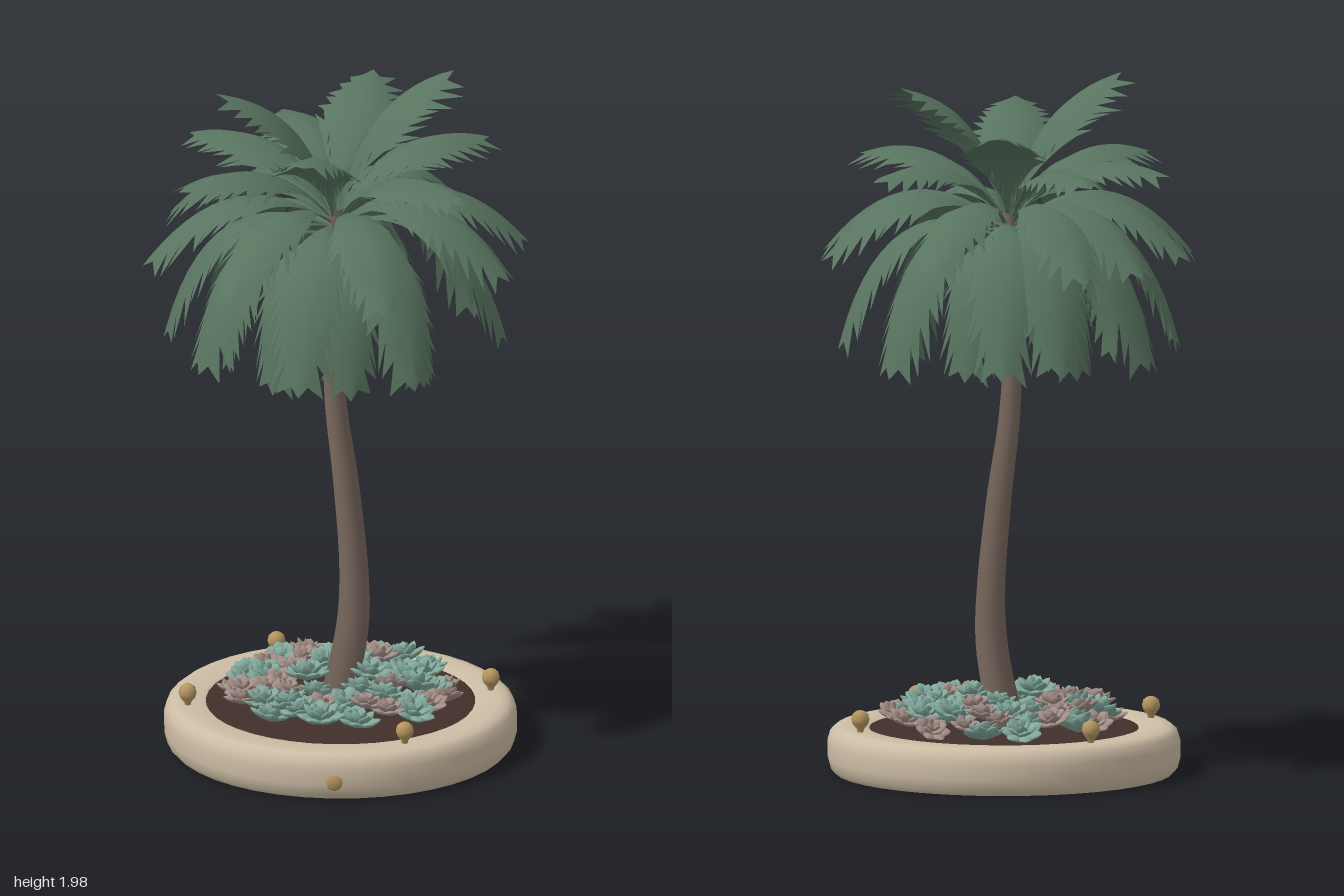
import * as THREE from 'three';
import { mergeGeometries } from 'three/addons/utils/BufferGeometryUtils.js';

const V3 = THREE.Vector3;
const mat = (name, color, side = THREE.FrontSide) => {
  const m = new THREE.MeshStandardMaterial({ color, side });
  m.name = name;
  return m;
};

function seeded(seed) {
  return () => {
    seed = (seed * 16807) % 2147483647;
    return seed / 2147483647;
  };
}

// Arching blade: a folded strip along a curve, edged with forward-pointing teeth
function frondGeometry(angle, base, ctrl, tip, halfWidth, rand) {
  const N = 14;
  const d = new V3(Math.cos(angle), 0, Math.sin(angle));
  const s = new V3(-d.z, 0, d.x);
  const curve = new THREE.QuadraticBezierCurve(base, ctrl, tip);
  const pos = [], idx = [];
  const put = (t, w) => {
    const p = curve.getPoint(Math.min(t, 1)), g = curve.getTangent(Math.min(t, 1));
    p.addScaledVector(g, Math.max(t - 1, 0) * 0.4);
    const fall = 0.25 * Math.abs(w) + 1.8 * w * w;
    const r = p.x + g.y * fall, y = p.y - g.x * fall;
    pos.push(-0.015 + d.x * r + s.x * w, y, d.z * r + s.z * w);
    return pos.length / 3 - 1;
  };
  const width = t => halfWidth * (0.08 + 0.92 * THREE.MathUtils.smoothstep(t, 0.02, 0.55)) * (1 - 0.7 * t ** 6);
  for (let i = 0; i <= N; i++) {
    const t = i / N, w = width(t) * 0.74;
    put(t, -w); put(t, 0); put(t, w);
  }
  for (let i = 0; i < N; i++) {
    const a = i * 3, b = a + 3;
    idx.push(a + 1, a + 2, b + 1, a + 2, b + 2, b + 1, a, a + 1, b, a + 1, b + 1, b);
    for (const side of [-1, 1]) {
      const t = (i + 1.6 + rand() * 1.1) / N;
      const k = put(t, side * width(i / N) * (0.92 + rand() * 0.25));
      if (side > 0) idx.push(a + 2, k, b + 2);
      else idx.push(a, b, k);
    }
  }
  const end = put(1.08, 0), l = N * 3;
  idx.push(l, l + 1, end, l + 1, l + 2, end);
  const g = new THREE.BufferGeometry();
  g.setAttribute('position', new THREE.Float32BufferAttribute(pos, 3));
  g.setIndex(idx);
  g.computeVertexNormals();
  return g;
}

// Rosette of unit radius with three rings of broad, pointed fleshy leaves
function rosetteGeometry() {
  const profile = [[0.1, 0], [0.27, 0.4], [0.33, 0.68], [0.2, 0.88], [0, 1]].map(p => new THREE.Vector2(...p));
  const parts = [];
  [[7, 0.4, 1], [5, 0.8, 0.92], [4, 1.2, 0.8]].forEach(([count, lift, len], ring) => {
    for (let i = 0; i < count; i++) {
      const leaf = new THREE.LatheGeometry(profile, 6);
      leaf.scale(len, len, len * 0.35);
      leaf.rotateX(Math.PI / 2 - lift);
      leaf.rotateY((i + ring * 0.5) / count * Math.PI * 2);
      parts.push(leaf);
    }
  });
  return mergeGeometries(parts);
}

export function createModel() {
  const model = new THREE.Group();
  model.name = 'pottedPalm';
  const rand = seeded(4711);
  const leafGreen = mat('leaf green', 0x58745f, THREE.DoubleSide);
  const bark = mat('bark brown', 0x78685d);
  const stone = mat('sandstone', 0xcdbda5, THREE.DoubleSide);
  const earth = mat('dark soil', 0x412f29, THREE.DoubleSide);
  const teal = mat('succulent teal', 0x82aa9c);
  const mauve = mat('succulent mauve', 0xa58f88);
  const gold = mat('dull gold', 0xb69660);

  const add = (name, geometry, material, parent = model) => {
    const m = new THREE.Mesh(geometry, material);
    m.name = name;
    parent.add(m);
    return m;
  };
  const lathe = (pts, seg) => new THREE.LatheGeometry(pts.map(p => new THREE.Vector2(...p)), seg);

  // Planter shell, open underneath
  add('planter', lathe([[0.478, 0], [0.492, 0.015], [0.5, 0.045], [0.5, 0.09], [0.492, 0.117],
    [0.475, 0.131], [0.45, 0.135], [0.39, 0.132], [0.375, 0.122]], 40), stone);

  // Soil, a single sheet
  add('soil', lathe([[0.385, 0.126], [0.36, 0.13], [0, 0.132]], 32), earth);

  // Curved, tapering trunk
  const trunkLine = new THREE.CatmullRomCurve3([[-0.01, 0.12], [0.034, 0.36], [0.037, 0.52], [0.012, 0.8],
    [-0.014, 1.0], [-0.025, 1.2], [-0.022, 1.4], [-0.015, 1.6]].map(p => new V3(p[0], p[1], 0)));
  const trunk = new THREE.CylinderGeometry(1, 1, 1, 14, 32, true);
  const tp = trunk.attributes.position;
  for (let i = 0; i < tp.count; i++) {
    const u = tp.getY(i) + 0.5, c = trunkLine.getPoint(u);
    const r = 0.021 + 0.031 * (1 - u) ** 1.3;
    tp.setXYZ(i, c.x + tp.getX(i) * r, c.y, -0.006 + tp.getZ(i) * r);
  }
  add('trunk', trunk, bark);

  // Fronds in tiers: base height, control point, tip (radius, height), half width, directions in degrees
  const crown = new THREE.Group();
  crown.name = 'crown';
  model.add(crown);
  const tiers = [
    [1.57, [0.06, 1.9], [0.32, 1.97], 0.13, [-30, 152]],
    [1.57, [0.13, 1.87], [0.4, 1.87], 0.12, [90, -88]],
    [1.57, [0.2, 1.83], [0.47, 1.74], 0.115, [30, -42, 202, 140, 240]],
    [1.56, [0.29, 1.78], [0.53, 1.5], 0.11, [14, 62, 112, 160, 199, 224, -69, -18, -115]],
    [1.55, [0.36, 1.7], [0.48, 1.22], 0.11, [-8, 50, 90, 130, 171, 213, 250, -90, -48]],
    [1.53, [0.31, 1.61], [0.33, 1.17], 0.1, [28, 70, 110, 152, 232, -70]],
  ];
  tiers.forEach(([y, ctrl, tip, w, angles], n) => angles.forEach(deg => {
    const jig = n > 2 ? (rand() - 0.5) * 0.05 : 0;
    add('frond', frondGeometry(deg * Math.PI / 180, new THREE.Vector2(0.008, y), new THREE.Vector2(...ctrl),
      new THREE.Vector2(tip[0], tip[1] + jig), w, rand), leafGreen, crown);
  }));

  // Succulents packed over the soil in a spiral, heaped towards the trunk
  const bed = new THREE.Group();
  bed.name = 'succulentBed';
  model.add(bed);
  const rosette = rosetteGeometry();
  for (let i = 0; i < 58; i++) {
    const r = 0.08 + 0.235 * Math.sqrt(i / 57), a = i * 2.39996;
    const isTeal = rand() < 0.55;
    const m = add(isTeal ? 'tealRosette' : 'mauveRosette', rosette, isTeal ? teal : mauve, bed);
    m.scale.setScalar(isTeal ? 0.06 + rand() * 0.018 : 0.048 + rand() * 0.018);
    m.position.set(r * Math.cos(a), 0.132 + rand() * 0.03 + 0.07 * (1 - r / 0.34), r * Math.sin(a));
    m.rotation.set((rand() - 0.5) * 0.8, rand() * 6.28, (rand() - 0.5) * 0.8);
  }

  // Small drop-shaped knobs on the rim, and a stud on the wall
  const knob = lathe([[0.008, 0.128], [0.01, 0.142], [0.022, 0.157], [0.026, 0.17], [0.022, 0.186], [0.012, 0.194], [0, 0.197]], 12);
  for (const [x, z] of [[0.4, -0.16], [-0.41, 0.15], [0.26, 0.335], [-0.26, -0.335]]) {
    add('rimKnob', knob, gold).position.set(x, 0, z);
  }
  const stud = add('wallStud', new THREE.SphereGeometry(0.026, 14, 10).scale(1, 1, 0.4), gold);
  stud.position.set(0.089, 0.055, 0.486);
  stud.rotation.y = 0.18;

  return model;
}
